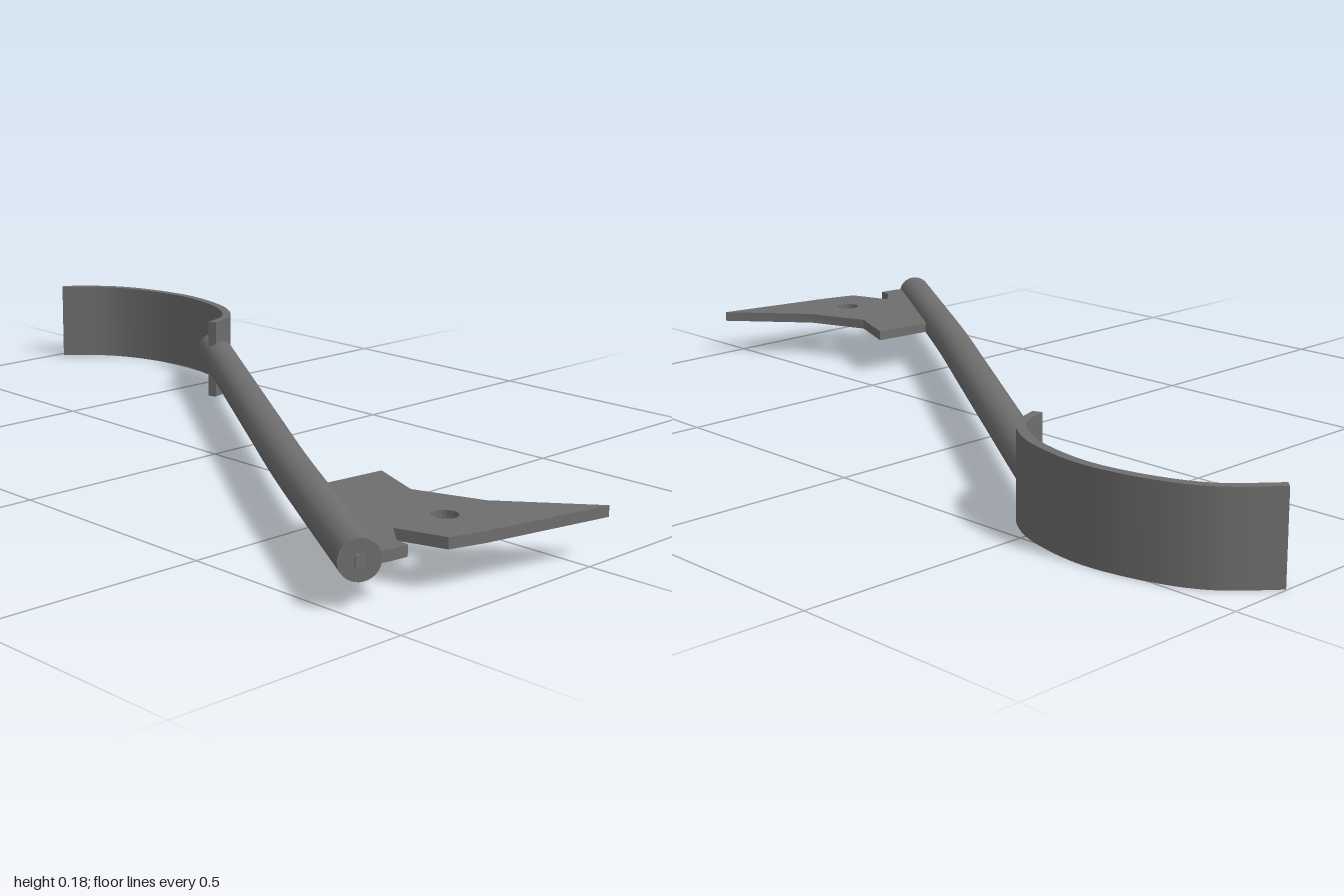
import * as THREE from 'three';
import { toCreasedNormals } from 'three/addons/utils/BufferGeometryUtils.js';

const MID = 0.093; // height of the rod axis

// Extrudes a plan outline (x, z) between two heights
function slab(shape, bottom, top) {
  const geo = new THREE.ExtrudeGeometry(shape, { depth: top - bottom, bevelEnabled: false, curveSegments: 20 });
  geo.rotateX(Math.PI / 2);
  geo.translate(0, top, 0);
  return toCreasedNormals(geo, 0.6);
}

const toVectors = (list) => list.map(([x, z]) => new THREE.Vector2(x, z));

export function createModel() {
  const model = new THREE.Group();
  const steel = new THREE.MeshStandardMaterial({ color: 0x6e6e6e });
  steel.name = 'dark grey';

  const add = (name, geometry, parent = model) => {
    const mesh = new THREE.Mesh(geometry, steel);
    mesh.name = name;
    parent.add(mesh);
    return mesh;
  };

  // Slightly bent round rod with flat ends
  const rod = new THREE.Group();
  rod.name = 'rod';
  model.add(rod);
  const radius = 0.039;
  const axis = new THREE.CatmullRomCurve3(
    [[-0.467, -0.42], [0.15, -0.002], [0.4, 0.167], [0.6, 0.296], [0.882, 0.476]]
      .map(([x, z]) => new THREE.Vector3(x, MID, z)));
  add('rodShaft', new THREE.TubeGeometry(axis, 40, radius, 32), rod);
  for (const [t, sign] of [[0, -1], [1, 1]]) {
    const cap = add('rodEnd', new THREE.CircleGeometry(radius, 32), rod);
    cap.position.copy(axis.getPointAt(t));
    cap.quaternion.setFromUnitVectors(
      new THREE.Vector3(0, 0, 1), axis.getTangentAt(t).multiplyScalar(sign));
  }

  // Tall curved band: an outer curve and its inward offset
  const bend = new THREE.SplineCurve(toVectors([
    [-0.998, -0.363], [-0.91, -0.455], [-0.8, -0.503], [-0.666, -0.522],
    [-0.532, -0.499], [-0.45, -0.458], [-0.4, -0.408], [-0.377, -0.345]]));
  const outer = [], inner = [];
  for (let i = 0; i <= 40; i++) {
    const p = bend.getPointAt(i / 40);
    const t = bend.getTangentAt(i / 40);
    outer.push(p);
    inner.unshift(new THREE.Vector2(p.x - t.y * 0.02, p.y + t.x * 0.02));
  }
  add('curvedBand', slab(new THREE.Shape([...outer, ...inner]), 0, 0.184));

  // Flat key plate, set into the rod, with a round hole
  const plate = new THREE.Shape(toVectors([
    [0.553, 0.262], [0.57, 0.087], [0.69, 0.137], [0.83, 0.087], [0.998, -0.053],
    [0.945, 0.225], [0.924, 0.3], [0.825, 0.332], [0.872, 0.375], [0.903, 0.38],
    [0.898, 0.425], [0.883, 0.487], [0.84, 0.455]]));
  const hole = new THREE.Path();
  hole.absarc(0.834, 0.207, 0.026, 0, Math.PI * 2, true);
  plate.holes.push(hole);
  add('keyPlate', slab(plate, 0.082, 0.104));

  return model;
}
